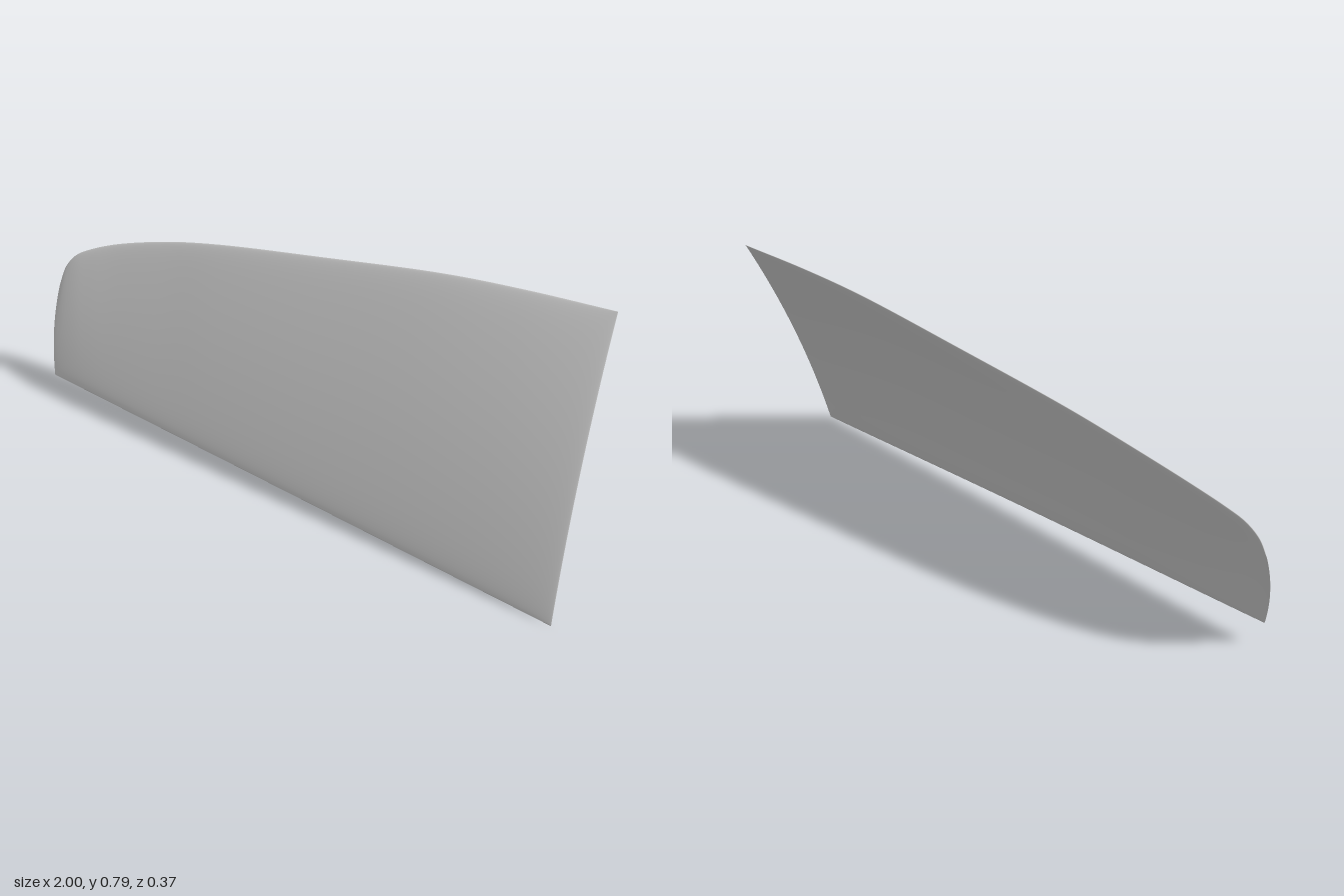
import * as THREE from 'three';
import { mergeVertices } from 'three/addons/utils/BufferGeometryUtils.js';

const curve = (pts) =>
  new THREE.CatmullRomCurve3(pts.map((p) => new THREE.Vector3(...p)), false, 'centripetal');

// Upper edge, running from the wide root round the tip corner
const upperEdge = curve([
  [0.92, 0.795, -0.188], [0.65, 0.784, -0.168], [0.4, 0.764, -0.15], [0, 0.707, -0.12],
  [-0.4, 0.645, -0.09], [-0.6, 0.603, -0.072], [-0.8, 0.547, -0.042], [-0.9, 0.508, -0.018],
  [-0.95, 0.48, -0.002], [-0.985, 0.435, 0.017], [-1, 0.37, 0.04],
]);
// Lower edge, nearly straight
const lowerEdge = curve([[1, 0.002, 0.182], [0, 0.045, 0.166], [-0.95, 0.08, 0.146]]);

const ROWS = 96, COLS = 40, HALF_THICKNESS = 0.0065;
const ease = (t) => (1 - Math.cos(Math.PI * t)) / 2; // packs sections near the borders
const rounded = (t) => Math.sqrt(Math.max(0, 1 - Math.abs(2 * t - 1) ** 10));

function bladeGeometry() {
  const pos = [], index = [], ring = 2 * COLS;
  for (let i = 0; i <= ROWS; i++) {
    const u = ease(i / ROWS);
    const low = lowerEdge.getPointAt(u), high = upperEdge.getPointAt(u);
    const chord = high.clone().sub(low);
    const normal = new THREE.Vector3(0, -chord.z, chord.y).normalize();
    const bow = THREE.MathUtils.lerp(0.024, 0.007, u);
    for (let j = 0; j < ring; j++) {
      // Up the front face, then down the back face
      const side = j <= COLS ? 1 : -1;
      const v = ease((j <= COLS ? j : ring - j) / COLS);
      const arch = 4 * v * (1 - v);
      const offset = bow * arch + side * HALF_THICKNESS * rounded(v) * rounded(u);
      const p = low.clone().addScaledVector(chord, v).addScaledVector(normal, offset);
      p.x -= 0.01 * arch * u ** 8; // slightly rounded tip edge
      pos.push(p.x, p.y, p.z);
    }
  }
  for (let i = 0; i < ROWS; i++) {
    for (let j = 0; j < ring; j++) {
      const k = (j + 1) % ring;
      const a = i * ring + j, b = i * ring + k;
      index.push(a, b, a + ring, b, b + ring, a + ring);
    }
  }
  let geo = new THREE.BufferGeometry();
  geo.setAttribute('position', new THREE.Float32BufferAttribute(pos, 3));
  geo.setIndex(index);
  geo = mergeVertices(geo, 1e-5); // closes the root and tip borders
  geo.computeVertexNormals();
  return geo;
}

export function createModel() {
  const group = new THREE.Group();
  group.name = 'curvedBlade';
  const blade = new THREE.Mesh(
    bladeGeometry(),
    new THREE.MeshStandardMaterial({ color: 0xcccccc, side: THREE.DoubleSide })
  );
  blade.name = 'bladePanel';
  group.add(blade);
  return group;
}
